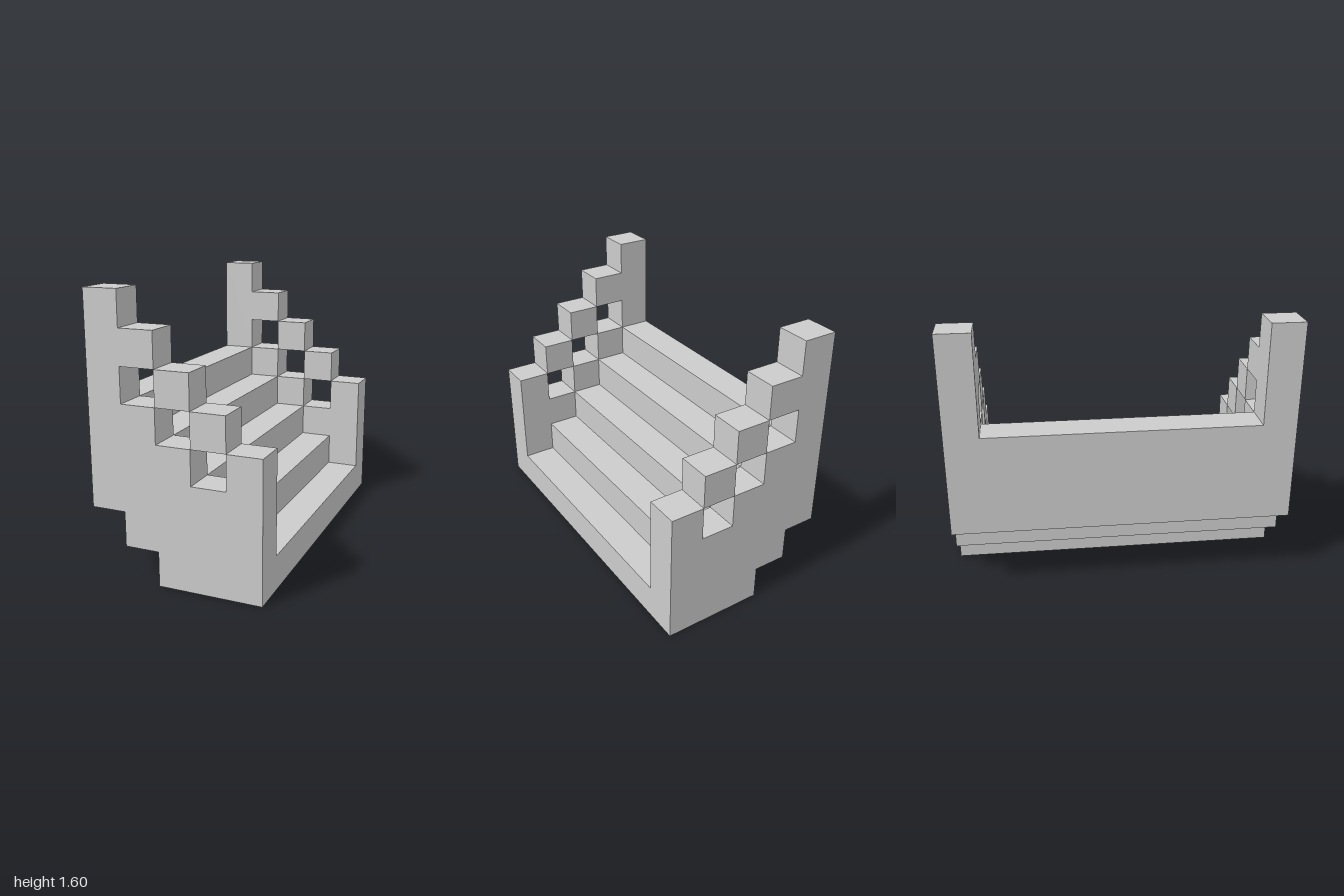
import * as THREE from 'three';

const STEP = 0.2;      // rise and run of every step
const WALL = 0.2;      // thickness of each side wall
const INNER = 1.6;     // width of the flight between the walls

const material = new THREE.MeshStandardMaterial({ color: 0xcccccc, flatShading: true });

// Stepped underside, from the foot at the low end to the high end
const underside = [[0.5, 0], [-0.1, 0], [-0.1, 0.2], [-0.3, 0.2], [-0.3, 0.4], [-0.5, 0.4]];

// Extrude a side outline along z, centred on the given z
function slab(name, points, depth, z) {
  const shape = new THREE.Shape(points.map(([x, y]) => new THREE.Vector2(x, y)));
  const geometry = new THREE.ExtrudeGeometry(shape, { depth, bevelEnabled: false });
  geometry.translate(0, 0, z - depth / 2);
  const mesh = new THREE.Mesh(geometry, material);
  mesh.name = name;
  return mesh;
}

export function createModel() {
  const model = new THREE.Group();
  model.name = 'staircase';

  // Flight of five steps, rising towards -x
  const treads = [];
  for (let i = 4; i >= 0; i--) {
    const x = 0.5 - i * STEP, top = (i + 1) * STEP;
    treads.push([x - STEP, top], [x, top]);
  }
  model.add(slab('steps', [...underside, ...treads], INNER, 0));

  // Side wall: tall post with a bracket, stepped top edge, short post at the foot
  const wallTop = [
    [-0.5, 1.6], [-0.3, 1.6], [-0.3, 1.4], [-0.1, 1.4], [-0.1, 1.2], [-0.3, 1.2],
    [-0.3, 1.0], [-0.1, 1.0], [-0.1, 0.8], [0.1, 0.8], [0.1, 0.6], [0.3, 0.6],
    [0.3, 0.8], [0.5, 0.8],
  ];
  for (const [side, s] of [['left', 1], ['right', -1]]) {
    const z = s * (INNER + WALL) / 2;
    const railing = new THREE.Group();
    railing.name = s > 0 ? 'frontRailing' : 'backRailing';
    railing.add(slab('sideWall', [...underside, ...wallTop], WALL, z));

    // Handrail blocks that meet edge to edge
    for (let i = 0; i < 2; i++) {
      const block = new THREE.Mesh(new THREE.BoxGeometry(STEP, STEP, WALL), material);
      block.name = 'handrailBlock';
      block.position.set(i * STEP, 1.1 - i * STEP, z);
      railing.add(block);
    }
    model.add(railing);
  }
  return model;
}
